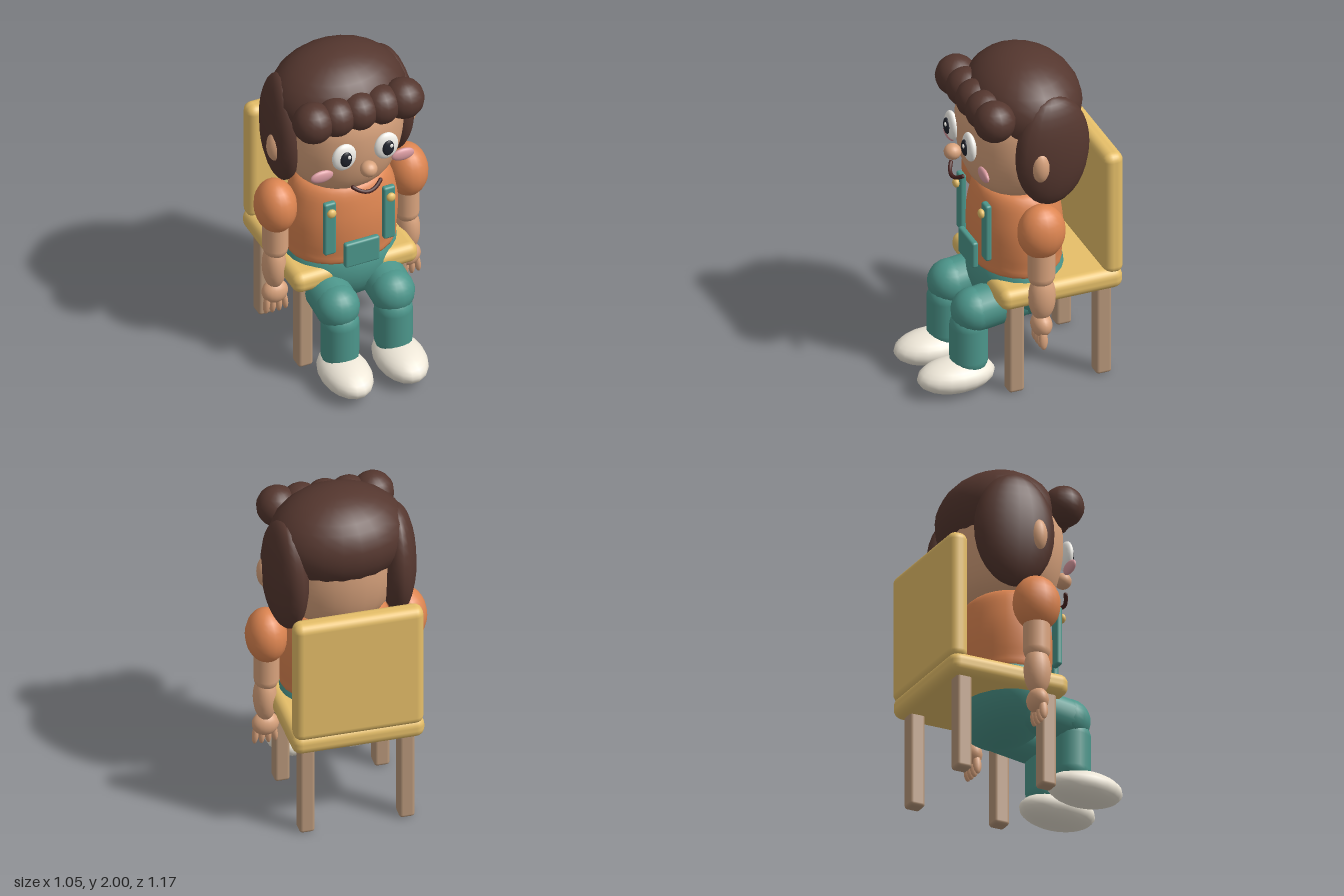
import * as THREE from 'three';
import { RoundedBoxGeometry } from 'three/addons/geometries/RoundedBoxGeometry.js';

const paint = (color) => new THREE.MeshStandardMaterial({ color });

export function createModel() {
  const root = new THREE.Group();
  const hair = paint(0x55372f), skin = paint(0xd9a37d), shirt = paint(0xdd8551), teal = paint(0x4c968b);
  const yellow = paint(0xe6bf69), wood = paint(0xb8977a), cream = paint(0xefe8d9), white = paint(0xf2f0ea);
  const black = paint(0x20232c), pink = paint(0xdb9ca2), lip = paint(0x4a2422);

  const add = (name, geometry, material, x = 0, y = 0, z = 0) => {
    const mesh = new THREE.Mesh(geometry, material);
    mesh.name = name;
    mesh.position.set(x, y, z);
    root.add(mesh);
    return mesh;
  };
  // Ellipsoid from centre and radii
  const ball = (name, material, [x, y, z], [rx, ry, rz], w = 18, h = 14) =>
    add(name, new THREE.SphereGeometry(1, w, h).scale(rx, ry, rz), material, x, y, z);
  // Rounded box from centre and size
  const box = (name, material, [x, y, z], [w, h, d], r) =>
    add(name, new RoundedBoxGeometry(w, h, d, 3, r), material, x, y, z);
  // Turned body, flattened front to back
  const turned = (name, material, profile, depth, z) => {
    const curve = new THREE.SplineCurve(profile.map((p) => new THREE.Vector2(...p)));
    return add(name, new THREE.LatheGeometry(curve.getPoints(28), 24).scale(1, 1, depth), material, 0, 0, z);
  };

  // Chair
  box('seat', yellow, [0, 0.625, -0.21], [0.77, 0.13, 0.745], 0.055);
  box('chairBack', yellow, [0, 1.045, -0.528], [0.755, 0.78, 0.118], 0.05);
  for (const x of [-0.29, 0.29])
    for (const z of [0.053, -0.478]) box('chairLeg', wood, [x, 0.295, z], [0.09, 0.59, 0.095], 0.02);

  // Body
  turned('torso', shirt, [[0, 0.7], [0.29, 0.7], [0.325, 0.78], [0.335, 0.93], [0.32, 1.06], [0.28, 1.18], [0.2, 1.22], [0, 1.23]], 0.785, -0.07);
  ball('hips', teal, [0, 0.625, -0.075], [0.34, 0.27, 0.27], 24, 16);
  box('bibPocket', teal, [0, 0.803, 0.21], [0.215, 0.165, 0.038], 0.014);

  // Head and face
  turned('head', skin, [[0, 1.17], [0.15, 1.175], [0.23, 1.21], [0.295, 1.28], [0.34, 1.4], [0.36, 1.55], [0.345, 1.7], [0.25, 1.85], [0, 1.92]], 0.92, -0.07);
  ball('nose', skin, [0, 1.45, 0.306], [0.05, 0.047, 0.05]);
  const smile = new THREE.QuadraticBezierCurve3(
    new THREE.Vector3(-0.085, 1.328, 0.28), new THREE.Vector3(0, 1.258, 0.34), new THREE.Vector3(0.085, 1.328, 0.28));
  add('mouth', new THREE.TubeGeometry(smile, 16, 0.012, 8), lip);
  for (const t of [0, 1]) ball('mouthEnd', lip, smile.getPoint(t).toArray(), [0.012, 0.012, 0.012], 8, 6);

  // Hair
  ball('hairCap', hair, [0, 1.72, -0.115], [0.4, 0.28, 0.33], 22, 16);
  for (let i = -2; i <= 2; i++) {
    const r = Math.abs(i) === 2 ? 0.12 : 0.115;
    ball('fringeCurl', hair, [i * 0.139, 1.765, 0.167], [r, r, r], 16, 12);
  }

  // Mirrored parts
  for (const s of [-1, 1]) {
    ball('sideHair', hair, [s * 0.325, 1.53, -0.165], [0.11, 0.342, 0.235], 18, 16).rotation.y = s * 0.15;
    ball('ear', skin, [s * 0.405, 1.49, -0.058], [0.055, 0.1, 0.055]);
    ball('eye', white, [s * 0.13, 1.54, 0.258], [0.074, 0.088, 0.032]);
    ball('pupil', black, [s * 0.13, 1.542, 0.287], [0.036, 0.05, 0.016]);
    ball('eyeGlint', white, [s * 0.13 + 0.014, 1.562, 0.301], [0.011, 0.013, 0.006], 10, 8);
    ball('cheek', pink, [s * 0.25, 1.415, 0.222], [0.07, 0.039, 0.02]);

    box('strap', teal, [s * 0.183, 1.0, 0.176], [0.074, 0.36, 0.038], 0.014);
    ball('button', yellow, [s * 0.183, 1.122, 0.208], [0.028, 0.028, 0.02], 12, 10);

    // Arm
    ball('sleeve', shirt, [s * 0.405, 1.065, -0.065], [0.12, 0.165, 0.14]);
    add('upperArm', new THREE.CapsuleGeometry(0.073, 0.2, 6, 16).scale(1, 1, 1.08), skin, s * 0.405, 0.88, -0.065);
    ball('forearm', skin, [s * 0.413, 0.645, -0.065], [0.068, 0.15, 0.08]);
    ball('palm', skin, [s * 0.41, 0.465, -0.062], [0.078, 0.072, 0.06]);
    for (let i = 0; i < 4; i++) {
      const o = (i - 1.5) * 0.037;
      const finger = ball('finger', skin, [s * 0.41 + o, 0.385 + Math.abs(o) * 0.12, -0.052], [0.019, 0.062, 0.026], 10, 8);
      finger.rotation.z = o * 2;
    }

    // Leg
    const thigh = add('thigh', new THREE.CapsuleGeometry(0.128, 0.25, 8, 18), teal, s * 0.17, 0.515, 0.12);
    thigh.rotation.x = Math.PI / 2 + 0.14;
    ball('knee', teal, [s * 0.17, 0.498, 0.25], [0.13, 0.13, 0.13]);
    add('shin', new THREE.CapsuleGeometry(0.11, 0.2, 8, 18), teal, s * 0.165, 0.3, 0.277);
    ball('shoe', cream, [s * 0.17, 0.102, 0.357], [0.143, 0.097, 0.23], 18, 14);
  }
  return root;
}
